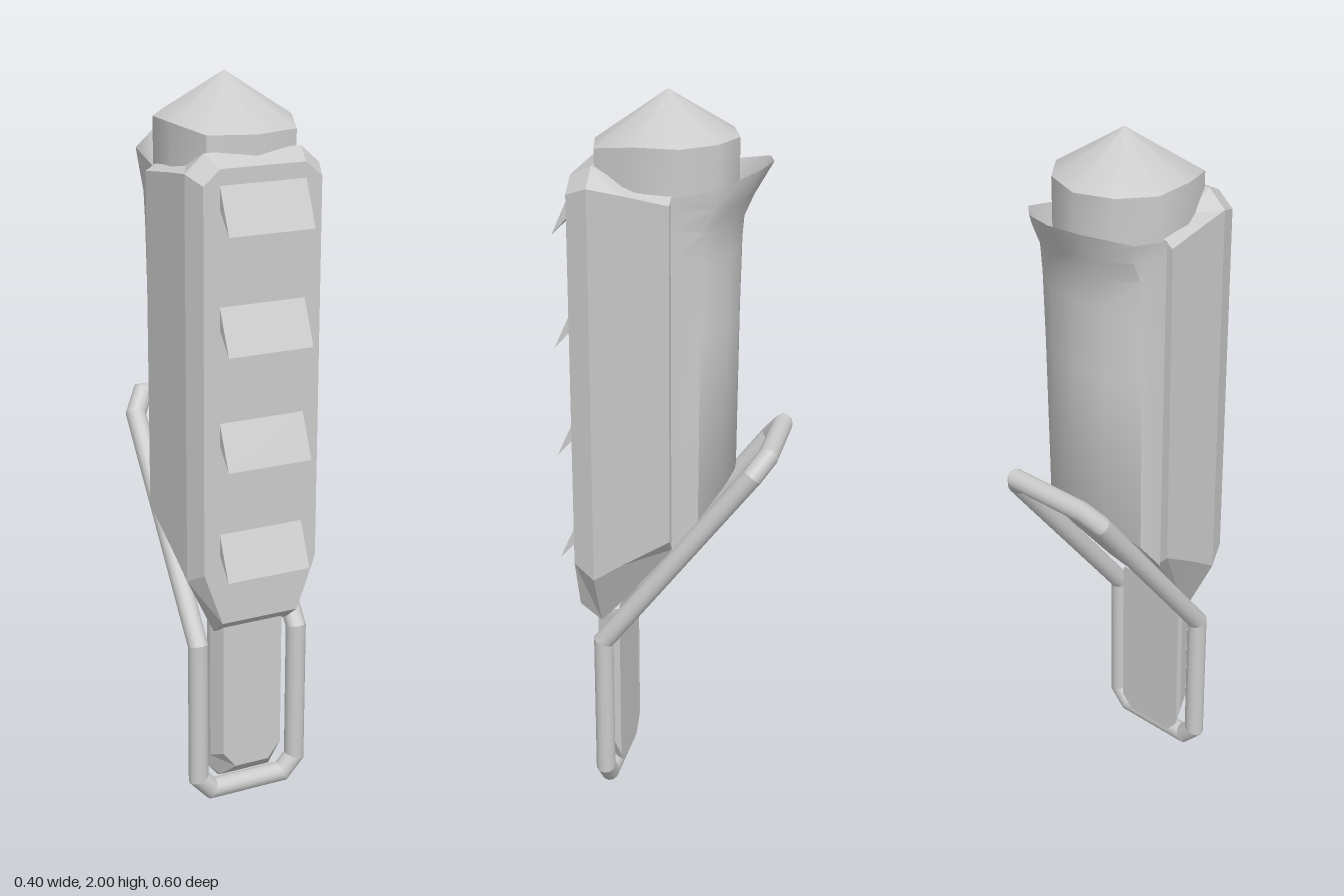
import * as THREE from 'three';
import { toCreasedNormals } from 'three/addons/utils/BufferGeometryUtils.js';

const material = new THREE.MeshStandardMaterial({ color: 0xcccccc, side: THREE.DoubleSide });

function part(name, geometry) {
  const mesh = new THREE.Mesh(geometry, material);
  mesh.name = name;
  return mesh;
}

// Skin a list of closed rings and cap both ends; tip replaces the last cap's centre
function loft(rings, crease, tip) {
  const pos = [];
  const tri = (...pts) => pts.forEach((p) => pos.push(...p));
  const centre = (ring) => [0, 1, 2].map((k) => ring.reduce((s, p) => s + p[k], 0) / ring.length);
  const n = rings[0].length;
  const first = rings[0], last = rings[rings.length - 1];
  const start = centre(first), end = tip || centre(last);
  for (let i = 0; i < n; i++) {
    const j = (i + 1) % n;
    for (let r = 0; r < rings.length - 1; r++) {
      const a = rings[r], b = rings[r + 1];
      tri(a[i], a[j], b[j], a[i], b[j], b[i]);
    }
    tri(start, first[j], first[i]);
    tri(end, last[i], last[j]);
  }
  const g = new THREE.BufferGeometry();
  g.setAttribute('position', new THREE.Float32BufferAttribute(pos, 3));
  g.computeVertexNormals();
  return toCreasedNormals(g, crease);
}

// Upright octagonal outline at depth z: bottom half width and height, side, top
function outline(z, b, y0, w, y1, y2, t, y3) {
  const half = [[b, y0], [w, y1], [w, y2], [t, y3]];
  const left = half.map(([x, y]) => [-x, y, z]).reverse();
  return [...half.map(([x, y]) => [x, y, z]), ...left];
}

// Mirror a half section [x, y, z] ending on x = 0
function mirrored(half) {
  return [...half, ...half.filter((p) => p[0] > 0).map(([x, y, z]) => [-x, y, z]).reverse()];
}

// Closed loop of straight round bars with mitred joints
function mitredLoop(points, radius) {
  const group = new THREE.Group();
  const n = points.length;
  const dir = points.map((p, i) => points[(i + 1) % n].clone().sub(p).normalize());
  points.forEach((p, i) => {
    const q = points[(i + 1) % n], d = dir[i];
    const g = new THREE.CylinderGeometry(radius, radius, p.distanceTo(q), 12, 1, true);
    const mid = p.clone().add(q).multiplyScalar(0.5);
    g.applyQuaternion(new THREE.Quaternion().setFromUnitVectors(new THREE.Vector3(0, 1, 0), d));
    g.translate(mid.x, mid.y, mid.z);
    const at = g.attributes.position, v = new THREE.Vector3();
    for (let k = 0; k < at.count; k++) {
      v.fromBufferAttribute(at, k);
      const atEnd = v.clone().sub(mid).dot(d) > 0;
      const joint = atEnd ? q : p;
      const normal = d.clone().add(dir[atEnd ? (i + 1) % n : (i + n - 1) % n]);
      v.addScaledVector(d, -v.clone().sub(joint).dot(normal) / d.dot(normal));
      at.setXYZ(k, v.x, v.y, v.z);
    }
    group.add(part('loopBar', g));
  });
  return group;
}

export function createModel() {
  const model = new THREE.Group();
  model.name = 'model';
  // Sloping underside shared by both shells
  const under = (z) => 0.53 + 1.31 * (0.17 - z);

  // Bevelled front shell
  model.add(part('frontShell', loft([
    outline(-0.03, 0.165, under(-0.03), 0.2, 0.83, 1.75, 0.155, 1.775),
    outline(0.1, 0.13, under(0.1), 0.193, 0.745, 1.768, 0.145, 1.785),
    outline(0.185, 0.11, 0.522, 0.188, 0.685, 1.778, 0.135, 1.825),
    outline(0.245, 0.112, 0.57, 0.165, 0.72, 1.755, 0.118, 1.795),
  ], 0.2)));

  // Rounded back shell, flared at the top with a bowl inside
  const section = [[0.175, -0.03], [0.165, -0.1], [0.085, -0.155], [0, -0.168]];
  const flare = [[0.183, 1.765, -0.03], [0.178, 1.79, -0.145], [0.085, 1.822, -0.235], [0, 1.828, -0.258]];
  const level = (y, sx, dz) => mirrored(section.map(([x, z], i) => [x * sx, y, z - (i ? dz : 0)]));
  model.add(part('backShell', loft([
    mirrored(section.map(([x, z]) => [x, under(z), z])),
    level(1.4, 1.02, 0.004),
    level(1.6, 1.03, 0.008),
    level(1.68, 1.035, 0.014),
    level(1.74, 1.04, 0.04),
    mirrored(flare),
    mirrored(flare.map(([x, , z]) => [x * 0.9, 1.7, z * 0.62 - 0.01])),
  ], 0.9)));

  // Ten-sided neck with a pointed lid
  const lid = [[0, 1.865, 0.21], [0.125, 1.867, 0.18], [0.17, 1.885, 0.065],
    [0.17, 1.885, -0.05], [0.105, 1.887, -0.135], [0, 1.885, -0.17]];
  const lidRing = mirrored(lid.slice(1));
  lidRing.push(lid[0]);
  model.add(part('cap', loft([lidRing.map(([x, , z]) => [x, 1.68, z]), lidRing], 0.8, [0, 2, 0.017])));

  // Row of wedge fins down the front
  const wedge = new THREE.Shape([[0.24, 0.13], [0.24, 0.065], [0.298, 0]].map(([a, b]) => new THREE.Vector2(a, b)));
  for (let i = 0; i < 4; i++) {
    const g = new THREE.ExtrudeGeometry(wedge, { depth: 0.24, bevelEnabled: false });
    g.rotateY(-Math.PI / 2);
    g.translate(0.12, 1.635 - i * 0.308, 0);
    model.add(part('frontFin', g));
  }

  // Bevelled tongue hanging below the shell
  model.add(part('tongue', loft([
    outline(0.135, 0.075, 0.045, 0.107, 0.085, 0.56, 0.1, 0.57),
    outline(0.155, 0.075, 0.055, 0.107, 0.125, 0.56, 0.1, 0.57),
    outline(0.202, 0.05, 0.1, 0.088, 0.148, 0.56, 0.08, 0.57),
  ], 0.2)));

  // Bent handle loop, upright in front and leaning back above
  const side = [[0.11, 0.028, 0.17], [0.15, 0.072, 0.17], [0.15, 0.48, 0.17],
    [0.15, 1.02, -0.242], [0.115, 1.066, -0.277]];
  const path = [...side, ...side.map(([x, y, z]) => [-x, y, z]).reverse()];
  const handle = mitredLoop(path.map((p) => new THREE.Vector3(...p)), 0.028);
  handle.name = 'handleLoop';
  model.add(handle);
  return model;
}
